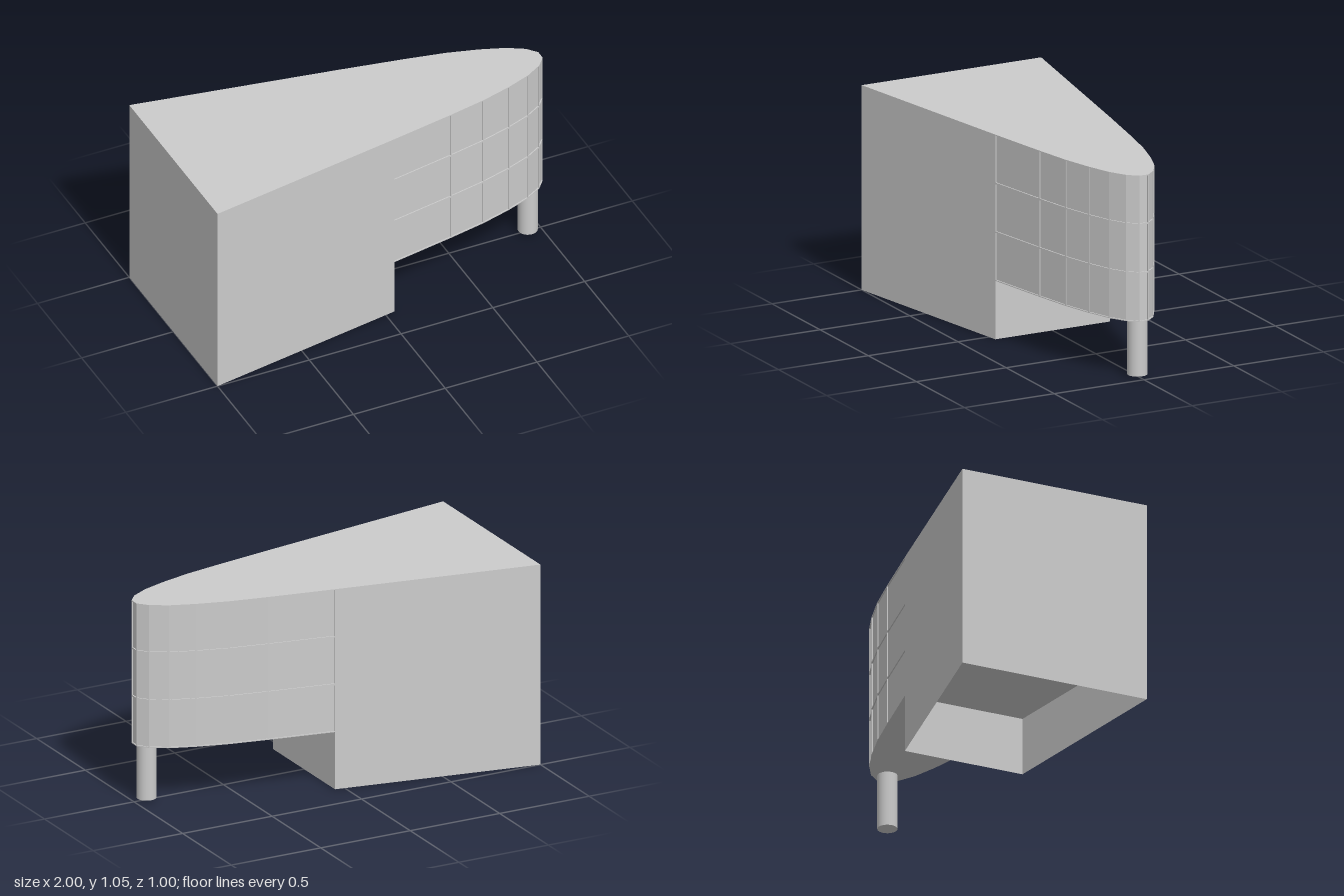
import * as THREE from 'three';

const FLOOR = 0.3, TOP = 1.05;
const material = new THREE.MeshStandardMaterial({ color: 0xcccccc, flatShading: true });
const thinMaterial = new THREE.MeshStandardMaterial({ color: 0xcccccc, flatShading: true, side: THREE.DoubleSide });
const smoothMaterial = new THREE.MeshStandardMaterial({ color: 0xcccccc });

// half of the rounded glazed end, as [x, z]
const half = [[0.05, 0.319], [0.39, 0.257], [0.587, 0.217], [0.747, 0.172], [0.872, 0.126], [0.957, 0.076], [1, 0.025]];
const facade = [...half, ...half.map(([x, z]) => [x, -z]).reverse()].map(([x, z]) => new THREE.Vector2(x, z));
const rear = [new THREE.Vector2(-1, -0.5), new THREE.Vector2(-1, 0.5)];

// upright prism over a plan outline, y0 to y1
function prism(name, outline, y0, y1) {
  const plan = outline.map((p) => new THREE.Vector2(p.x, -p.y));
  const geometry = new THREE.ExtrudeGeometry(new THREE.Shape(plan), { depth: y1 - y0, bevelEnabled: false });
  geometry.rotateX(-Math.PI / 2).translate(0, y0, 0);
  const mesh = new THREE.Mesh(geometry, material);
  mesh.name = name;
  return mesh;
}

// facade line moved inwards by d with mitred corners
function inset(points, d) {
  const normal = (a, b) => new THREE.Vector2(a.y - b.y, b.x - a.x).normalize();
  return points.map((p, i) => {
    const before = points[i - 1] ?? rear[1], after = points[i + 1] ?? rear[0];
    const n1 = normal(before, p), n2 = normal(p, after);
    const miter = n1.clone().add(n2).multiplyScalar(d / (1 + n1.dot(n2)));
    return p.clone().sub(miter);
  });
}

export function createModel() {
  const model = new THREE.Group();
  const panels = inset(facade, 0.006);
  const backing = inset(facade, 0.014);
  const full = [...rear, ...facade];

  // solid upper storeys with recessed glazing, closed by flush edge strips
  const last = facade.length - 1;
  const core = [...rear, facade[0], ...panels.map((p, i) => (i === 0 || i === last ? new THREE.Vector2(0.05, p.y) : p)), facade[last]];
  const edge = 0.005;
  model.add(prism('upperBody', core, FLOOR + edge, TOP - edge));
  model.add(prism('roof', full, TOP - edge, TOP));
  model.add(prism('soffit', full, FLOOR, FLOOR + edge));

  // horizontal glazing bars
  for (const y of [0.55, 0.8]) model.add(prism('transom', facade, y - 0.004, y + 0.004));

  // vertical glazing bars at the corners of the facade
  for (let i = 1; i < last; i++) {
    const p = facade[i];
    const toward = (q) => p.clone().add(q.clone().sub(p).setLength(0.004));
    const bar = [toward(facade[i - 1]), p, toward(facade[i + 1]), backing[i]];
    model.add(prism('mullion', bar, FLOOR + edge, TOP - edge));
  }

  // open-bottomed ground floor, walls only
  const corners = [rear[0], rear[1], facade[0], facade[last]];
  const positions = [];
  corners.forEach((a, i) => {
    const b = corners[(i + 1) % corners.length];
    positions.push(a.x, 0, a.y, b.x, 0, b.y, b.x, FLOOR, b.y);
    positions.push(a.x, 0, a.y, b.x, FLOOR, b.y, a.x, FLOOR, a.y);
  });
  const wallGeometry = new THREE.BufferGeometry();
  wallGeometry.setAttribute('position', new THREE.Float32BufferAttribute(positions, 3));
  wallGeometry.computeVertexNormals();
  const walls = new THREE.Mesh(wallGeometry, thinMaterial);
  walls.name = 'groundFloorWalls';
  model.add(walls);

  // column under the overhanging end
  const column = new THREE.Mesh(new THREE.CylinderGeometry(0.05, 0.05, FLOOR - 0.012, 32), smoothMaterial);
  column.position.set(0.93, (FLOOR + 0.012) / 2, 0);
  column.name = 'column';
  model.add(column);

  return model;
}
